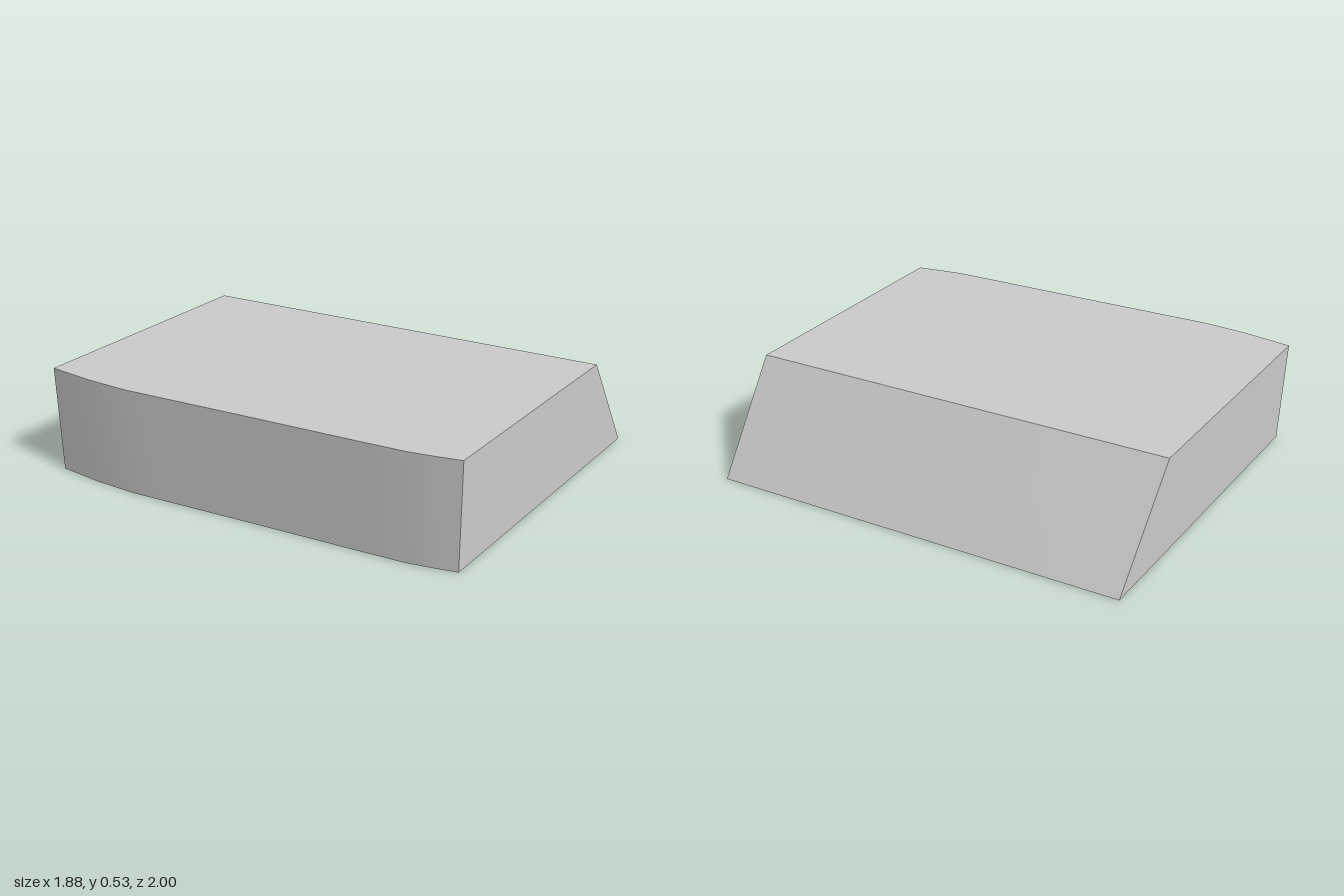
import * as THREE from 'three';
import { mergeGeometries } from 'three/addons/utils/BufferGeometryUtils.js';

const HEIGHT = 0.53;

// Curved edge on the -x side as [z, x], back to front
const CURVED_EDGE = [
  [-1, -0.943], [-0.78, -0.937], [-0.57, -0.915], [-0.39, -0.879],
  [0, -0.8], [0.6, -0.682], [0.78, -0.645], [0.89, -0.611], [1, -0.573],
];

// Four corners of the slice at z, counter-clockwise seen from the front
function crossSection([z, x]) {
  const t = (z + 1) / 2;
  const slopeFoot = THREE.MathUtils.lerp(0.592, 0.94, t);
  const slopeTop = THREE.MathUtils.lerp(0.235, 0.597, t);
  return [[x, 0, z], [slopeFoot, 0, z], [slopeTop, HEIGHT, z], [x, HEIGHT, z]];
}

function surface(points, index) {
  const geometry = new THREE.BufferGeometry();
  geometry.setAttribute('position', new THREE.Float32BufferAttribute(points.flat(), 3));
  geometry.setIndex(index);
  geometry.computeVertexNormals();
  return geometry;
}

// Strip joining corner a to corner b along every slice, smooth within itself
function strip(sections, a, b) {
  const points = sections.flatMap((s) => [s[a], s[b]]);
  const index = [];
  for (let i = 0; i < sections.length - 1; i++) {
    const k = i * 2;
    index.push(k, k + 1, k + 3, k, k + 3, k + 2);
  }
  return surface(points, index);
}

export function createModel() {
  const grey = new THREE.MeshStandardMaterial({ color: 0xcacaca });
  grey.name = 'light grey';

  const sections = CURVED_EDGE.map(crossSection);
  const parts = [];

  // Underside, sloping side, top and curved side
  for (let i = 0; i < 4; i++) parts.push(strip(sections, i, (i + 1) % 4));

  // Flat front and back ends
  parts.push(surface(sections[sections.length - 1], [0, 1, 2, 0, 2, 3]));
  parts.push(surface(sections[0], [0, 2, 1, 0, 3, 2]));

  const block = new THREE.Mesh(mergeGeometries(parts), grey);
  block.name = 'slantedBlock';

  const model = new THREE.Group();
  model.name = 'slantedBlockModel';
  model.add(block);
  return model;
}
